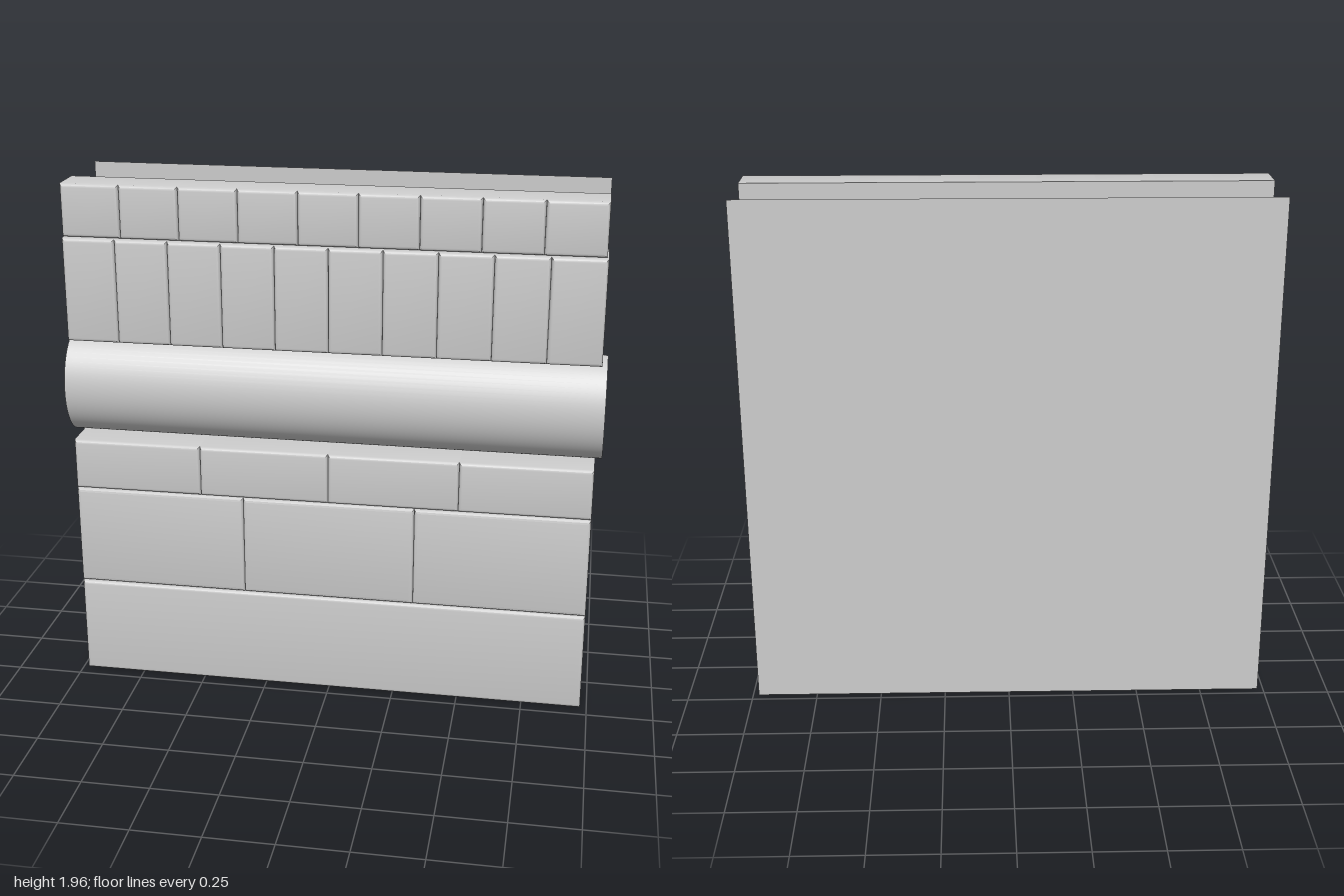
import * as THREE from 'three';
import { toCreasedNormals } from 'three/addons/utils/BufferGeometryUtils.js';

const material = new THREE.MeshStandardMaterial({ color: 0xcccccc });
const openMaterial = new THREE.MeshStandardMaterial({ color: 0xcccccc, side: THREE.DoubleSide });

const BACK = 0.06;   // rear face of the blocks
const BEVEL = 0.014; // rounding of the front edges
const STEPS = 3;

// Box whose four front edges are rounded over
function blockGeometry(w, h, d) {
  const geo = new THREE.BoxGeometry(w, h, d, 1, 1, STEPS + 1);
  const p = geo.attributes.position;
  for (let i = 0; i < p.count; i++) {
    const ring = Math.round((p.getZ(i) / d + 0.5) * (STEPS + 1)); // 0 = back
    if (ring === 0) {
      p.setZ(i, 0);
      continue;
    }
    const a = ((ring - 1) / STEPS) * Math.PI / 2;
    const inset = BEVEL * (1 - Math.cos(a));
    p.setXYZ(
      i,
      p.getX(i) - Math.sign(p.getX(i)) * inset,
      p.getY(i) - Math.sign(p.getY(i)) * inset,
      d - BEVEL + BEVEL * Math.sin(a)
    );
  }
  return toCreasedNormals(geo, 0.7);
}

// Courses of blocks, bottom to top
const courses = [
  { name: 'baseSlab', y0: 0.008, y1: 0.393, x0: -0.977, x1: 0.975, count: 1, front: 0.218 },
  { name: 'largeBlocks', y0: 0.397, y1: 0.785, x0: -0.977, x1: 0.975, count: 3, front: 0.218 },
  { name: 'longBlocks', y0: 0.788, y1: 0.982, x0: -0.977, x1: 0.975, count: 4, front: 0.218 },
  { name: 'uprightBlocks', y0: 1.375, y1: 1.763, x0: -0.977, x1: 0.98, count: 10, front: 0.218 },
  { name: 'topBlocks', y0: 1.765, y1: 1.96, x0: -0.977, x1: 0.975, count: 9, front: 0.206 }
];

export function createModel() {
  const model = new THREE.Group();
  model.name = 'wallTrimSet';

  for (const c of courses) {
    const row = new THREE.Group();
    row.name = c.name;
    const pitch = (c.x1 - c.x0) / c.count;
    const geo = blockGeometry(pitch, c.y1 - c.y0, c.front - BACK);
    for (let i = 0; i < c.count; i++) {
      const block = new THREE.Mesh(geo, material);
      block.name = 'block';
      block.position.set(c.x0 + pitch * (i + 0.5), (c.y0 + c.y1) / 2, BACK);
      row.add(block);
    }
    model.add(row);
  }

  // Half-round moulding, an open shell between the courses
  const shell = new THREE.CylinderGeometry(1, 1, 2, 32, 1, true, -Math.PI / 2, Math.PI);
  shell.rotateZ(Math.PI / 2);
  shell.scale(1, 0.195, 0.158);
  const moulding = new THREE.Mesh(shell, openMaterial);
  moulding.name = 'halfRoundMoulding';
  moulding.position.set(0, 1.178, BACK);
  model.add(moulding);

  // Flat sheet standing behind
  const sheet = new THREE.Mesh(new THREE.PlaneGeometry(1.956, 1.962), openMaterial);
  sheet.name = 'backSheet';
  sheet.position.set(0, 0.981, -0.218);
  model.add(sheet);

  return model;
}
